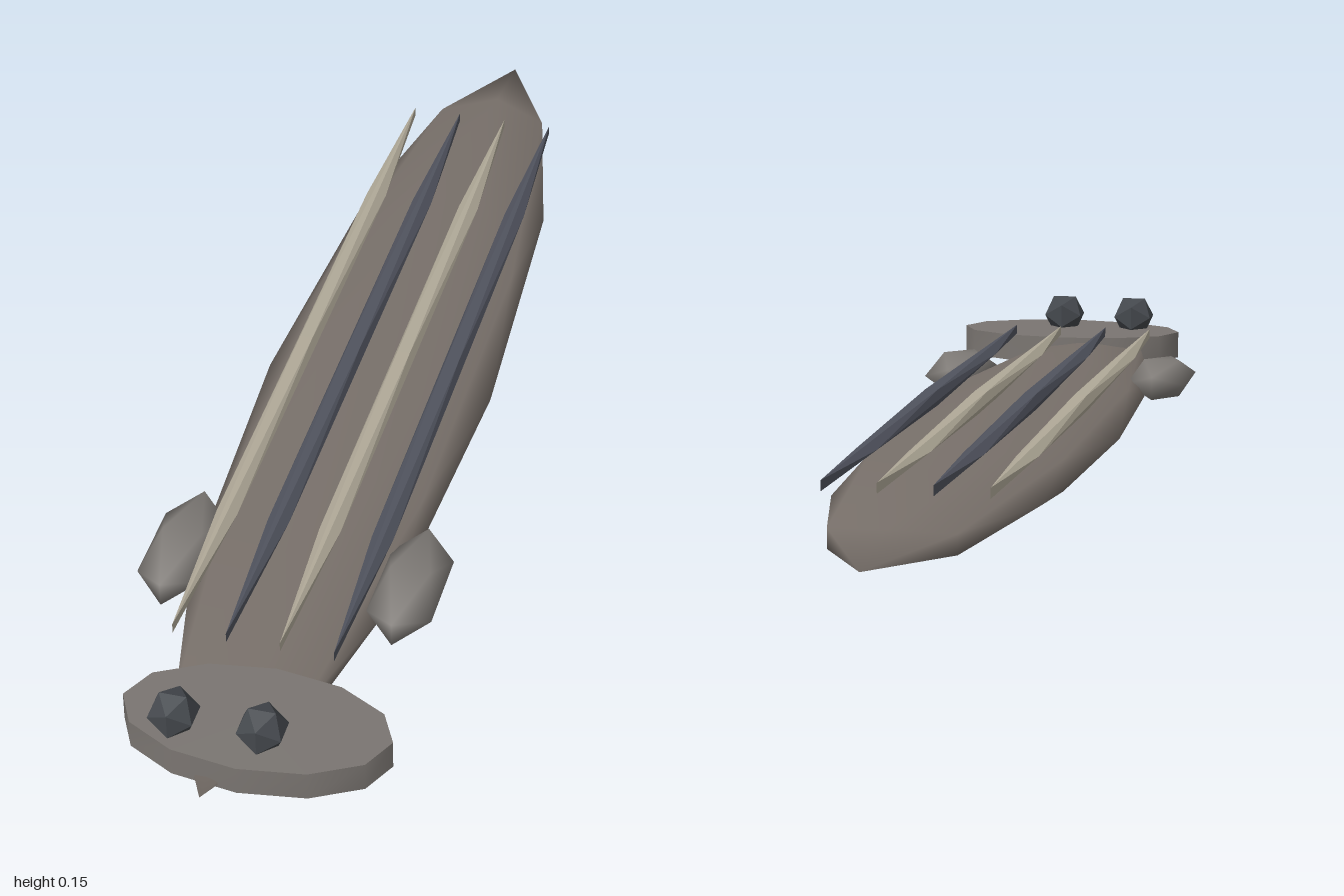
import * as THREE from 'three';
import { mergeVertices } from 'three/addons/utils/BufferGeometryUtils.js';

const paint = (color, flatShading = false) =>
  new THREE.MeshStandardMaterial({ color, flatShading });

const skin = paint(0x78706a);
const headSkin = paint(0x7a7571);
const finSkin = paint(0x807c78);
const paleStripe = paint(0xb0a998, true);
const darkStripe = paint(0x50535e, true);
const eyeBlack = paint(0x44484d, true);

// Faceted ellipsoid; smooth ones share vertices so their normals blend
function ellipsoid(name, material, radii, position, detail = 0) {
  let geometry = new THREE.IcosahedronGeometry(1, detail);
  if (!material.flatShading) {
    geometry.deleteAttribute('normal');
    geometry.deleteAttribute('uv');
    geometry = mergeVertices(geometry);
  }
  geometry.scale(...radii);
  geometry.computeVertexNormals();
  const mesh = new THREE.Mesh(geometry, material);
  mesh.name = name;
  mesh.position.set(...position);
  return mesh;
}

export function createModel() {
  const model = new THREE.Group();
  model.name = 'flatworm';

  // The whole animal lies slightly turned on the ground
  const animal = new THREE.Group();
  animal.name = 'animal';
  animal.position.x = -0.065;
  animal.rotation.y = 0.119;
  model.add(animal);

  // Long flat body
  animal.add(ellipsoid('body', skin, [0.19, 0.05, 1.0], [0, 0.051, 0], 1));

  // Four alternating stripes along the back
  for (let i = 0; i < 4; i++) {
    animal.add(ellipsoid('backStripe' + (i + 1), i % 2 ? darkStripe : paleStripe,
      [0.02, 0.0155, 0.855], [(i - 1.5) * 0.0835, 0.109, 0]));
  }

  // Broad disc head
  const headGeometry = new THREE.CylinderGeometry(1, 1, 0.048, 12);
  headGeometry.rotateY(Math.PI / 2);
  headGeometry.scale(0.205, 1, 0.108);
  headGeometry.computeVertexNormals();
  const head = new THREE.Mesh(headGeometry, headSkin);
  head.name = 'head';
  head.position.set(0.046, 0.067, 0.862);
  animal.add(head);

  // Mirrored eyes and side fins
  for (const side of [-1, 1]) {
    const label = side > 0 ? 'left' : 'right';
    animal.add(ellipsoid(label + 'Eye', eyeBlack, [0.04, 0.04, 0.04], [side * 0.067, 0.113, 0.902]));
    animal.add(ellipsoid(label + 'Fin', finSkin, [0.06, 0.038, 0.136], [side * 0.183, 0.067, 0.5]));
  }

  return model;
}
